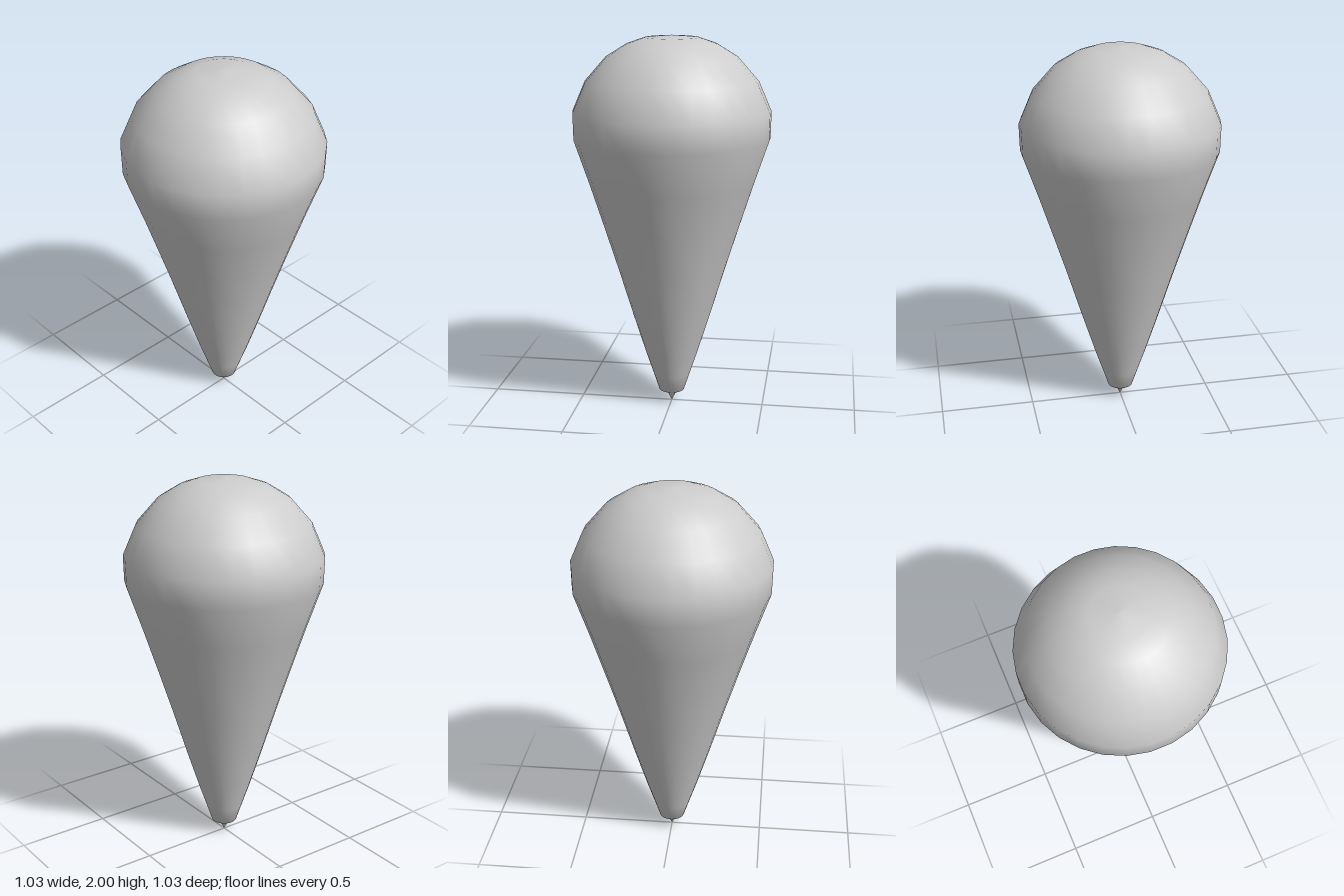
import * as THREE from 'three';

export function createModel() {
  const group = new THREE.Group();
  const grey = new THREE.MeshStandardMaterial({ color: 0xcccccc });
  grey.name = 'light grey';

  // Half profile from the pointed tip up to the rounded crown: [radius, height]
  const profile = [
    [0, 0], [0.022, 0.045], [0.068, 0.068], [0.1, 0.165], [0.14, 0.285], [0.207, 0.5],
    [0.285, 0.76], [0.36, 1.0], [0.435, 1.235], [0.514, 1.47], [0.517, 1.61],
    [0.45, 1.765], [0.34, 1.89], [0.235, 1.955], [0.14, 1.988], [0, 2],
  ].map(([r, y]) => new THREE.Vector2(r, y));

  // 28 sides, turned half a step so flat facets face the four axes
  const sides = 28;
  const geometry = new THREE.LatheGeometry(profile, sides, Math.PI / sides, Math.PI * 2);
  const teardrop = new THREE.Mesh(geometry, grey);
  teardrop.name = 'teardropBody';
  group.add(teardrop);
  return group;
}
